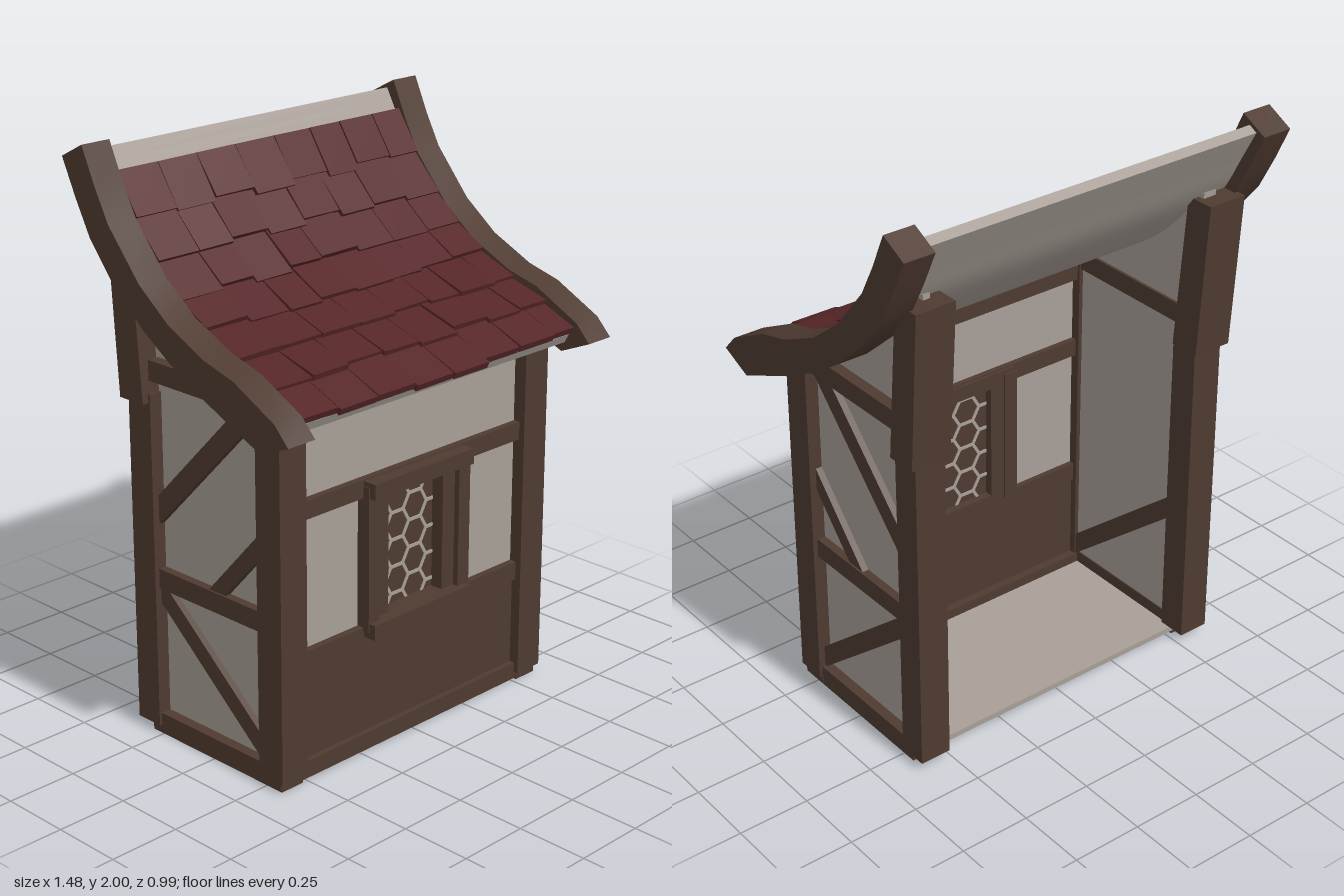
import * as THREE from 'three';
import { toCreasedNormals } from 'three/addons/utils/BufferGeometryUtils.js';

export function createModel() {
  const root = new THREE.Group();
  root.name = 'timberHouse';
  const mat = (name, color) => {
    const m = new THREE.MeshStandardMaterial({ color });
    m.name = name;
    return m;
  };
  const wood = mat('darkWood', 0x4f3b31);
  const plaster = mat('plaster', 0xa89f97);
  const red = mat('redTile', 0x562628);

  let seed = 7;
  const rand = () => (seed = (seed * 16807) % 2147483647) / 2147483647;
  const jitter = (a) => (rand() * 2 - 1) * a;

  const add = (name, geo, material, parent = root) => {
    const m = new THREE.Mesh(geo, material);
    m.name = name;
    parent.add(m);
    return m;
  };
  // box given by its limits on each axis
  const box = (name, x0, x1, y0, y1, z0, z1, material = wood, parent = root) => {
    const g = new THREE.BoxGeometry(Math.abs(x1 - x0), y1 - y0, z1 - z0);
    g.translate((x0 + x1) / 2, (y0 + y1) / 2, (z0 + z1) / 2);
    return add(name, g, material, parent);
  };
  // side profile of [z, y] points, extruded from xa to xb
  const prism = (name, pts, xa, xb, material = wood) => {
    const shape = new THREE.Shape(pts.map(([z, y]) => new THREE.Vector2(z, y)));
    const g = new THREE.ExtrudeGeometry(shape, { depth: Math.abs(xb - xa), bevelEnabled: false });
    g.rotateY(-Math.PI / 2);
    g.translate(Math.max(xa, xb), 0, 0);
    return add(name, toCreasedNormals(g, 0.5), material);
  };
  // straight slanted timber in a side wall
  const brace = (name, z0, y0, z1, y1, w, xa, xb) => {
    const l = Math.hypot(z1 - z0, y1 - y0);
    const nz = (-(y1 - y0) / l) * w / 2, ny = ((z1 - z0) / l) * w / 2;
    prism(name, [[z0 + nz, y0 + ny], [z0 - nz, y0 - ny], [z1 - nz, y1 - ny], [z1 + nz, y1 + ny]], xa, xb);
  };

  // floor and sills
  box('floor', -0.56, 0.56, 0.015, 0.035, -0.3, 0.28, plaster);
  box('frontSill', -0.615, 0.615, 0.01, 0.07, 0.22, 0.315);

  // curved outline of the roof timbers
  const rafter = [[0.497, 1.25], [0.44, 1.31], [0.265, 1.4], [0.14, 1.434], [-0.02, 1.51], [-0.15, 1.61],
    [-0.286, 1.77], [-0.345, 1.88], [-0.4, 2], [-0.497, 1.95], [-0.44, 1.83], [-0.376, 1.71],
    [-0.275, 1.587], [-0.14, 1.47], [-0.02, 1.39], [0.11, 1.32], [0.22, 1.27], [0.38, 1.2]];
  const wall = [[0.28, 0.03], [-0.31, 0.03], [-0.31, 1.2], [-0.355, 1.74], [-0.3, 1.715],
    [-0.16, 1.555], [-0.03, 1.455], [0.13, 1.375], [0.28, 1.31]];

  // side walls, posts and roof timbers
  for (const s of [1, -1]) {
    const side = s > 0 ? 'left' : 'right';
    const inner = s > 0 ? 0.53 : 0.545;
    prism(side + 'Wall', wall, s * (s > 0 ? 0.55 : 0.525), s * 0.575, plaster);
    box(side + 'FrontPost', s * 0.51, s * 0.622, 0.035, 1.26, 0.225, 0.332);
    box(side + 'RearPost', s * 0.51, s * 0.622, 0.035, 1.2, -0.362, -0.258);
    prism(side + 'RearPostTop', [[-0.265, 1.17], [-0.31, 1.72], [-0.413, 1.72], [-0.376, 1.17]], s * 0.5, s * 0.645);
    box(side + 'Sill', s * 0.52, s * 0.612, 0.004, 0.078, -0.3, 0.318);
    box(side + 'MiddleRail', s * inner, s * 0.605, 0.528, 0.597, -0.27, 0.23);
    box(side + 'TopRail', s * 0.515, s * 0.615, 1.243, 1.312, -0.27, 0.325);
    brace(side + 'UpperBrace', 0.2, 1.27, -0.28, 0.78, 0.07, s * inner, s * 0.598);
    brace(side + 'ShortBrace', 0.25, 0.855, -0.02, 0.56, 0.055, s * inner, s * 0.598);
    brace(side + 'LowerBrace', 0.25, 0.09, -0.28, 0.535, 0.065, s * 0.515, s * 0.598);
    prism(side + 'Rafter', rafter, s * 0.632, s * 0.742);
  }

  // front wall
  box('frontTopBeam', -0.52, 0.52, 1.2, 1.28, 0.235, 0.31);
  box('frontUpperPlaster', -0.53, 0.53, 0.95, 1.21, 0.26, 0.285, plaster);
  box('frontWoodPanel', -0.53, 0.53, 0.05, 0.4, 0.25, 0.295);
  box('frontLowerBeam', -0.52, 0.52, 0.385, 0.452, 0.24, 0.31);
  for (const s of [1, -1]) {
    box('frontSidePlaster', s * 0.2, s * 0.53, 0.44, 0.92, 0.26, 0.285, plaster);
    box('windowOuterJamb', s * 0.185, s * 0.238, 0.44, 0.94, 0.225, 0.335);
    box('windowInnerJamb', s * 0.128, s * 0.19, 0.44, 0.94, 0.23, 0.315);
  }
  box('frontMiddleBeam', -0.52, 0.52, 0.9, 0.962, 0.24, 0.31);
  box('windowHeader', -0.235, 0.227, 0.903, 0.957, 0.23, 0.36);
  box('windowSill', -0.235, 0.227, 0.42, 0.472, 0.23, 0.36);
  box('windowPane', -0.14, 0.14, 0.45, 0.92, 0.26, 0.268);

  // hexagonal window lattice; loose ends are buried in the frame
  const lattice = new THREE.Group();
  lattice.name = 'windowLattice';
  root.add(lattice);
  const R = 0.055, H = R * Math.sqrt(3);
  for (let c = -1; c <= 2; c++) {
    for (let r = 0; r < 6; r++) {
      const cx = (c - 0.5) * R * 1.5, cy = 0.455 + r * H + (c % 2 ? H / 2 : 0);
      for (const k of [0, 1, 2]) {
        const a = Math.PI / 6 + k * Math.PI / 3;
        const x = cx + Math.cos(a) * H / 2, y = cy + Math.sin(a) * H / 2;
        if (Math.abs(x) > 0.15 || y < 0.44 || y > 0.93) continue;
        const bar = add('latticeBar', new THREE.BoxGeometry(R, 0.011, 0.016), plaster, lattice);
        bar.position.set(x, y, 0.264);
        bar.rotation.z = a + Math.PI / 2;
      }
    }
  }

  // curved roof sheet between the rafters
  const curve = new THREE.CatmullRomCurve3([[0.41, 1.265], [0.25, 1.35], [0.13, 1.395], [-0.03, 1.475],
    [-0.16, 1.575], [-0.3, 1.735], [-0.37, 1.86], [-0.43, 1.97]].map(([z, y]) => new THREE.Vector3(0, y, z)));
  const len = curve.getLength();
  // point at distance d along the slope, raised by h
  const onRoof = (d, h) => {
    const u = THREE.MathUtils.clamp(d / len, 0, 1);
    const t = curve.getTangentAt(u);
    const p = curve.getPointAt(u).addScaledVector(t, d - u * len);
    return p.add(new THREE.Vector3(0, -t.z, t.y).multiplyScalar(h));
  };
  const upper = [], lower = [];
  for (let i = 0; i <= 28; i++) {
    const a = onRoof((i / 28) * len, 0), b = onRoof((i / 28) * len, -0.035);
    upper.push([a.z, a.y]);
    lower.unshift([b.z, b.y]);
  }
  prism('roofSheet', [...upper, ...lower], -0.635, 0.635, plaster);

  // overlapping rows of uneven tiles
  const tiles = new THREE.Group();
  tiles.name = 'roofTiles';
  root.add(tiles);
  for (let row = 0; row < 7; row++) {
    let x = -0.632;
    const first = row % 2 ? 0.16 : 0.18;
    for (let i = 0; x < 0.6; i++) {
      let w = (i ? 0.155 : first) + jitter(0.018);
      if (0.632 - x - w < 0.07) w = 0.632 - x;
      const d = -0.018 + row * 0.15 + jitter(0.014);
      const a = onRoof(d, 0.026 + jitter(0.005));
      const b = onRoof(Math.min(d + 0.185, 1.05), 0.008);
      const dir = b.clone().sub(a);
      const tile = add('roofTile', new THREE.BoxGeometry(w - 0.003, 0.024, dir.length()), red, tiles);
      tile.position.copy(a).add(b).multiplyScalar(0.5).setX(x + w / 2);
      tile.rotation.set(Math.atan2(dir.y, -dir.z), 0, jitter(0.025));
      x += w;
    }
  }
  return root;
}
